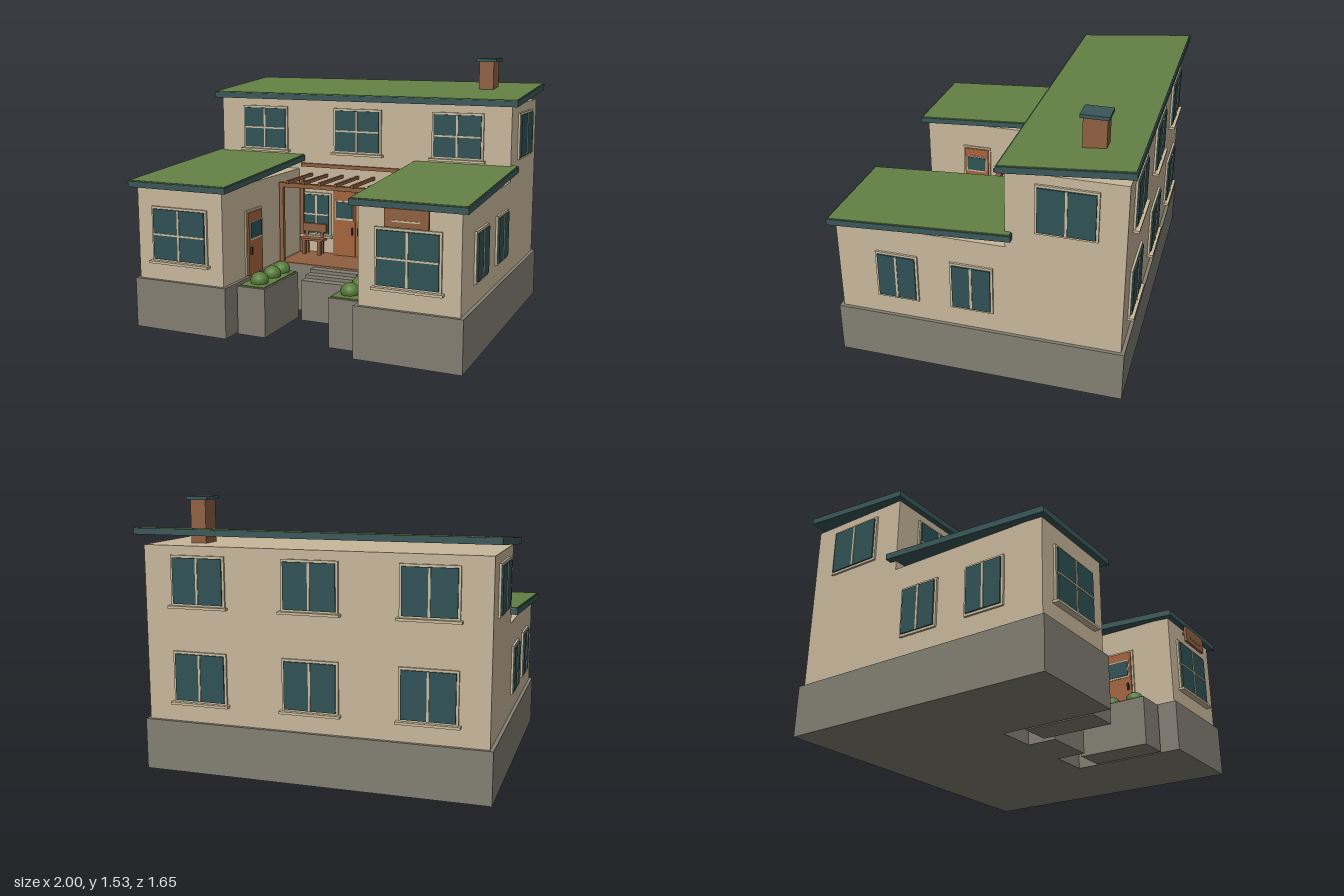
import * as THREE from 'three';

const mat = (name, color) => {
  const m = new THREE.MeshStandardMaterial({ color });
  m.name = name;
  return m;
};

export function createModel() {
  const wall = mat('plaster', 0xc8b79b);
  const trim = mat('trim', 0xcabb9c);
  const stone = mat('stone', 0x827e72);
  const grass = mat('grass', 0x638044);
  const slate = mat('roof edge', 0x3a5759);
  const glass = mat('glass', 0x2f5155);
  const wood = mat('wood', 0x8f6040);
  const doorWood = mat('door wood', 0xa5633c);
  const leaf = mat('leaf', 0x557a38);
  const dark = mat('handle', 0x2c2c2a);

  const root = new THREE.Group();
  root.name = 'house';

  const group = (name, parent = root) => {
    const g = new THREE.Group();
    g.name = name;
    parent.add(g);
    return g;
  };
  // Box given by its minimum and maximum on each axis
  const box = (name, m, x0, x1, y0, y1, z0, z1, parent = root) => {
    const mesh = new THREE.Mesh(new THREE.BoxGeometry(x1 - x0, y1 - y0, z1 - z0), m);
    mesh.position.set((x0 + x1) / 2, (y0 + y1) / 2, (z0 + z1) / 2);
    mesh.name = name;
    parent.add(mesh);
    return mesh;
  };
  // Same box, mirrored to the side s (+1 or -1)
  const sideBox = (name, m, s, x0, x1, y0, y1, z0, z1, parent = root) =>
    box(name, m, s > 0 ? x0 : -x1, s > 0 ? x1 : -x0, y0, y1, z0, z1, parent);

  // Sloping slab: bottom height yf at the front edge zf, yb at the back edge zb
  const slopedSlab = (name, m, x0, x1, zf, zb, yf, yb, t, parent) => {
    const g = new THREE.BoxGeometry(x1 - x0, t, zf - zb);
    g.translate((x0 + x1) / 2, t / 2, (zf + zb) / 2);
    const p = g.attributes.position;
    for (let i = 0; i < p.count; i++) {
      p.setY(i, p.getY(i) + yf + (yb - yf) * (zf - p.getZ(i)) / (zf - zb));
    }
    g.computeVertexNormals();
    const mesh = new THREE.Mesh(g, m);
    mesh.name = name;
    parent.add(mesh);
  };
  const roof = (name, x0, x1, zf, zb, yf, yb, t) => {
    const g = group(name);
    const e = 0.007;
    slopedSlab('roofEdge', slate, x0, x1, zf, zb, yf, yb, t, g);
    slopedSlab('roofGrass', grass, x0 + e, x1 - e, zf - e, zb + e, yf + t, yb + t, 0.005, g);
  };

  // Window facing +z locally; w and h are the glass size
  const addWindow = (name, x, y, z, turn, w, h, { bar = false, sill = true } = {}) => {
    const g = group(name);
    g.position.set(x, y, z);
    g.rotation.y = turn;
    const a = w / 2, b = h / 2, f = 0.013;
    box('windowFrame', trim, -a - f, a + f, -b - f, b + f, -0.005, 0.012, g);
    box('pane', glass, -a, a, -b, b, 0.01, 0.02, g);
    box('mullion', trim, -0.006, 0.006, -b, b, 0.018, 0.024, g);
    if (bar) box('glazingBar', trim, -a, a, -0.005, 0.005, 0.018, 0.024, g);
    if (sill) box('sill', trim, -a - 0.026, a + 0.026, -b - 0.024, -b - 0.01, -0.005, 0.035, g);
  };

  // Foundation and walls
  box('mainFoundation', stone, -0.98, 0.98, 0, 0.29, -0.81, 0.15);
  box('mainWalls', wall, -0.96, 0.96, 0.29, 1.27, -0.79, -0.165);
  for (const s of [1, -1]) {
    sideBox('wingFoundation', stone, s, 0.385, 0.98, 0, 0.29, 0.15, 0.8);
    sideBox('wingWalls', wall, s, 0.405, 0.96, 0.29, 0.83, -0.165, 0.78);
  }

  // Roofs
  roof('mainRoof', -1, 1, -0.13, -0.825, 1.268, 1.328, 0.035);
  roof('leftWingRoof', 0.365, 1, 0.815, -0.205, 0.822, 0.885, 0.034);
  roof('rightWingRoof', -1, -0.365, 0.815, -0.205, 0.822, 0.885, 0.034);

  // Chimney
  box('chimney', wood, 0.665, 0.755, 1.25, 1.51, -0.63, -0.505);
  box('chimneyCap', slate, 0.65, 0.775, 1.508, 1.527, -0.642, -0.492);

  // Windows
  for (const x of [-0.64, 0, 0.64]) {
    addWindow('upperFrontWindow', x, 1.083, -0.165, 0, 0.29, 0.252, { bar: true });
    addWindow('upperBackWindow', x, 1.08, -0.79, Math.PI, 0.29, 0.252);
    addWindow('lowerBackWindow', x, 0.545, -0.79, Math.PI, 0.29, 0.262);
  }
  for (const s of [1, -1]) {
    const turn = s * Math.PI / 2;
    addWindow('wingFrontWindow', s * 0.68, 0.56, 0.78, 0, 0.335, 0.29, { bar: true });
    addWindow('upperSideWindow', s * 0.96, 1.079, -0.485, turn, 0.3, 0.252, { sill: false });
    for (const z of [0.44, 0.02]) {
      addWindow('wingSideWindow', s * 0.96, 0.545, z, turn, 0.212, 0.255, { sill: false });
    }
    addWindow('porchWindow', s * 0.277, 0.545, -0.165, 0, 0.17, 0.25, { bar: true });
  }

  // Door leaf facing +z locally, hinged away from the handle side
  const doorLeaf = (parent, x0, x1, h, handleX) => {
    box('doorPanel', doorWood, x0, x1, 0, h, 0, 0.02, parent);
    const a = x0 + 0.018, b = x1 - 0.018;
    box('doorWindowFrame', trim, a - 0.006, b + 0.006, h * 0.56, h * 0.86, 0.018, 0.024, parent);
    box('doorPane', glass, a, b, h * 0.59, h * 0.84, 0.022, 0.028, parent);
    box('doorHandle', dark, handleX - 0.005, handleX + 0.005, h * 0.34, h * 0.45, 0.018, 0.034, parent);
  };

  // Double front door
  const door = group('frontDoor');
  door.position.set(0, 0.295, -0.15);
  box('doorFrame', trim, -0.158, 0.158, 0, 0.427, -0.016, 0.012, door);
  doorLeaf(door, -0.146, -0.002, 0.412, -0.02);
  doorLeaf(door, 0.002, 0.146, 0.412, 0.02);

  // Single doors on the inner walls of the wings
  for (const s of [1, -1]) {
    const d = group('wingDoor');
    d.position.set(s * 0.405, 0.295, 0.445);
    d.rotation.y = -s * Math.PI / 2;
    box('doorFrame', trim, -0.092, 0.092, 0, 0.382, -0.005, 0.01, d);
    doorLeaf(d, -0.08, 0.08, 0.37, s * 0.06);
  }

  // Porch deck and steps
  box('deck', wood, -0.385, 0.385, 0.288, 0.296, -0.165, 0.15);
  for (let i = 0; i < 3; i++) {
    box('step', stone, -0.153, 0.153, 0, 0.284 - i * 0.02, 0.15 + i * 0.058, 0.208 + i * 0.058);
  }

  // Pergola
  const pergola = group('pergola');
  for (const s of [1, -1]) {
    for (const z of [0.127, -0.15]) {
      sideBox('post', wood, s, 0.364, 0.39, 0.29, 0.765, z - 0.012, z + 0.012, pergola);
    }
  }
  box('frontBeam', wood, -0.39, 0.39, 0.76, 0.787, 0.113, 0.143, pergola);
  box('wallTrim', wood, -0.385, 0.385, 0.846, 0.868, -0.167, -0.147, pergola);
  for (let i = -3; i <= 3; i++) {
    box('rafter', wood, i * 0.106 - 0.008, i * 0.106 + 0.008, 0.786, 0.806, -0.165, 0.17, pergola);
  }

  // Benches and planters on both sides of the entrance
  for (const s of [1, -1]) {
    const bench = group('bench');
    sideBox('seat', wood, s, 0.2, 0.362, 0.386, 0.4, -0.14, -0.072, bench);
    sideBox('backrest', wood, s, 0.2, 0.362, 0.435, 0.487, -0.14, -0.126, bench);
    for (const x of [0.222, 0.326]) {
      sideBox('benchLeg', wood, s, x, x + 0.02, 0.295, 0.388, -0.1, -0.08, bench);
      sideBox('backLeg', wood, s, x, x + 0.02, 0.295, 0.45, -0.139, -0.128, bench);
    }

    const planter = group('planter');
    sideBox('planterBox', stone, s, 0.195, 0.37, 0, 0.28, 0.28, 0.693, planter);
    sideBox('planterGrass', grass, s, 0.206, 0.359, 0.279, 0.286, 0.291, 0.682, planter);
    for (const z of [0.33, 0.445, 0.595]) {
      const shrub = new THREE.Mesh(new THREE.SphereGeometry(0.052, 20, 14), leaf);
      shrub.name = 'shrub';
      shrub.scale.y = 0.9;
      shrub.position.set(s * 0.28, 0.302, z);
      planter.add(shrub);
    }
  }

  // Plain hanging board on the left wing
  const board = group('hangingBoard');
  box('boardPanel', wood, 0.565, 0.8, 0.728, 0.825, 0.805, 0.822, board);
  box('boardStrip', trim, 0.605, 0.755, 0.758, 0.766, 0.82, 0.826, board);
  for (const x of [0.6, 0.76]) {
    box('boardBracket', wood, x, x + 0.012, 0.79, 0.802, 0.775, 0.81, board);
  }

  return root;
}
